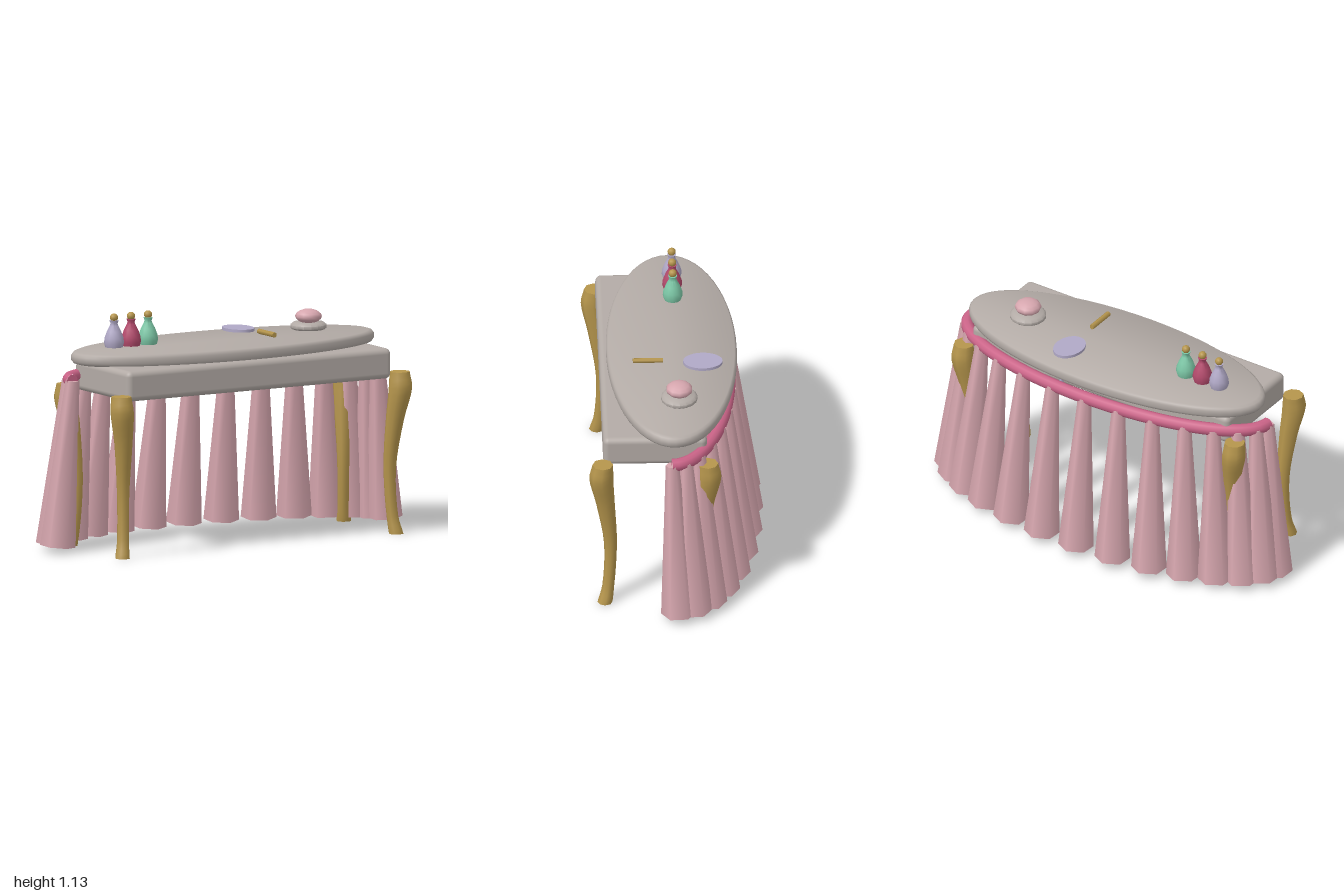
import * as THREE from 'three';
import { toCreasedNormals } from 'three/addons/utils/BufferGeometryUtils.js';
import { RoundedBoxGeometry } from 'three/addons/geometries/RoundedBoxGeometry.js';

const V = (x, y, z) => new THREE.Vector3(x, y, z);

function material(name, color) {
  const m = new THREE.MeshStandardMaterial({ color });
  m.name = name;
  return m;
}

export function createModel() {
  const model = new THREE.Group();
  model.name = 'dressingTable';
  const stone = material('warm grey', 0xb3aba6);
  const blush = material('blush pink', 0xd6a6ae);
  const rose = material('rose', 0xcb6488);
  const berry = material('berry', 0xb34a6c);
  const gold = material('gold', 0xb5954c);
  const lavender = material('lavender', 0xb0a8c6);
  const mint = material('mint', 0x7cc7a6);

  function add(name, geometry, mat, x = 0, y = 0, z = 0, parent = model) {
    const mesh = new THREE.Mesh(geometry, mat);
    mesh.name = name;
    mesh.position.set(x, y, z);
    parent.add(mesh);
    return mesh;
  }
  const lathe = (profile, sides) =>
    new THREE.LatheGeometry(profile.map(([r, y]) => new THREE.Vector2(r, y)), sides);

  // Oval top with softened edges
  const top = lathe([[0, 0], [0.965, 0], [0.988, 0.006], [1, 0.018], [1, 0.042],
    [0.988, 0.054], [0.965, 0.06], [0, 0.06]], 56);
  top.scale(0.832, 1, 0.315);
  add('tableTop', toCreasedNormals(top, 0.9), stone, 0, 0.912, 0.012);

  // Rounded box below the top
  add('apron', new RoundedBoxGeometry(1.49, 0.148, 0.5, 3, 0.028), stone, 0, 0.843, 0.11);

  // Curved legs: rings of a cylinder moved along a spline
  const legPath = new THREE.CatmullRomCurve3([
    V(0.772, 0.012, 0.352), V(0.76, 0.1, 0.336), V(0.752, 0.33, 0.325),
    V(0.766, 0.57, 0.35), V(0.785, 0.725, 0.37), V(0.785, 0.802, 0.363)]);
  const legRadius = new THREE.SplineCurve([0.036, 0.029, 0.031, 0.045, 0.058, 0.05]
    .map((r, i) => new THREE.Vector2(i, r)));
  function leg(sx, sz) {
    const g = new THREE.CylinderGeometry(1, 1, 1, 8, 20);
    const p = g.attributes.position;
    for (let i = 0; i < p.count; i++) {
      const t = THREE.MathUtils.clamp(p.getY(i) + 0.5, 0, 1);
      const c = legPath.getPoint(t);
      const r = legRadius.getPoint(t).y;
      const cz = 0.11 + sz * (c.z - 0.11);
      p.setXYZ(i, sx * c.x + r * p.getX(i), c.y, cz + r * p.getZ(i));
    }
    return toCreasedNormals(g, 0.9);
  }
  for (const sx of [-1, 1]) {
    for (const sz of [-1, 1]) {
      add((sz > 0 ? 'front' : 'back') + (sx > 0 ? 'Left' : 'Right') + 'Leg', leg(sx, sz), gold);
    }
  }

  // Half-oval around the back, angle measured from straight back
  const around = (a, rx, rz, y, cz) => V(rx * Math.sin(a), y, cz - rz * Math.cos(a));

  // Curtain rail
  const railPoints = [];
  for (let i = 0; i <= 24; i++) {
    railPoints.push(around((i / 24 - 0.5) * Math.PI, 0.86, 0.3, 0.842, 0.033));
  }
  add('curtainRail', new THREE.TubeGeometry(
    new THREE.CatmullRomCurve3(railPoints), 64, 0.031, 10, false), rose);
  for (const sx of [-1, 1]) {
    add('railEnd', new THREE.CircleGeometry(0.031, 10), rose, sx * 0.86, 0.842, 0.033);
  }

  // Six-sided pleats fanning outward from the rail
  const skirt = new THREE.Group();
  skirt.name = 'pleatedSkirt';
  model.add(skirt);
  for (let k = -7; k <= 7; k++) {
    const a = k * Math.PI / 14;
    const hi = around(a, 0.86, 0.3, 0.842, 0.03);
    const lo = around(a, 0.922, 0.345, 0.038, 0);
    const dir = hi.clone().sub(lo);
    const mid = hi.clone().add(lo).multiplyScalar(0.5);
    const pleat = add('pleat', new THREE.CylinderGeometry(0.032, 0.086, dir.length(), 6),
      blush, mid.x, mid.y, mid.z, skirt);
    pleat.quaternion.setFromUnitVectors(V(0, 1, 0), dir.normalize());
  }

  // Perfume bottles with round stoppers
  const bottle = lathe([[0, 0], [0.042, 0], [0.048, 0.02], [0.046, 0.045], [0.034, 0.078],
    [0.02, 0.105], [0.017, 0.115], [0.022, 0.13], [0, 0.13]], 12);
  const bottleGeometry = toCreasedNormals(bottle, 0.9);
  [[-0.602, lavender], [-0.506, berry], [-0.41, mint]].forEach(([x, mat]) => {
    add('perfumeBottle', bottleGeometry, mat, x, 0.982, -0.005);
    add('bottleStopper', new THREE.SphereGeometry(0.02, 10, 8), gold, x, 1.126, -0.005);
  });

  // Powder dish and puff
  const dish = lathe([[0, 0], [0.078, 0], [0.088, 0.008], [0.088, 0.022],
    [0.074, 0.034], [0, 0.034]], 16);
  add('powderDish', toCreasedNormals(dish, 0.9), stone, 0.5, 0.983, -0.013);
  const puff = new THREE.SphereGeometry(0.065, 10, 8);
  puff.scale(1, 0.54, 1);
  add('powderPuff', puff, blush, 0.5, 1.046, -0.013);

  // Oval hand mirror and its handle peg
  const mirror = new THREE.CylinderGeometry(1, 1, 0.014, 24);
  mirror.scale(0.071, 1, 0.095);
  add('handMirror', mirror, lavender, 0.178, 0.994, -0.135);
  add('mirrorHandle', new THREE.CylinderGeometry(0.009, 0.012, 0.08, 8), lavender,
    0.178, 0.846, -0.205);

  // Gold stick lying on the top
  const stick = new THREE.CylinderGeometry(0.013, 0.013, 0.145, 6);
  stick.rotateX(Math.PI / 2);
  add('goldStick', stick, gold, 0.178, 1.006, 0.13);

  return model;
}
